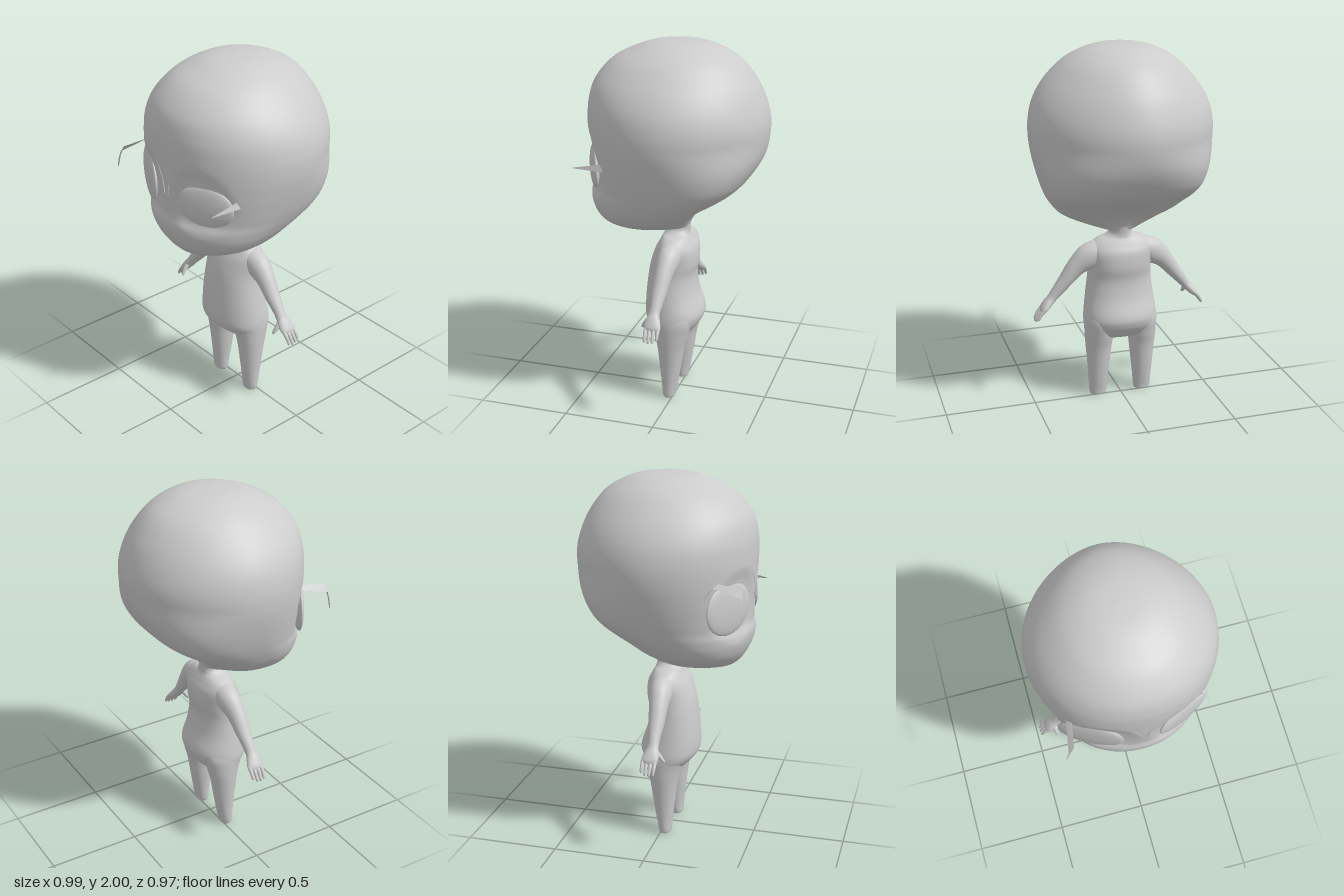
import * as THREE from 'three';

const clay = new THREE.MeshStandardMaterial({ color: 0xcccccc });
clay.name = 'clay grey';
const clayThin = new THREE.MeshStandardMaterial({ color: 0xcccccc, side: THREE.DoubleSide });
clayThin.name = 'clay grey thin';

function named(geometry, name, material = clay) {
  const mesh = new THREE.Mesh(geometry, material);
  mesh.name = name;
  return mesh;
}

// Smooth skin over rows x cols closed rings; at(t, angle) gives each point.
function skin(rows, cols, at) {
  const pos = [], index = [];
  for (let i = 0; i <= rows; i++) {
    for (let j = 0; j < cols; j++) pos.push(...at(i / rows, (j / cols) * Math.PI * 2));
  }
  for (let i = 0; i < rows; i++) {
    for (let j = 0; j < cols; j++) {
      const k = (j + 1) % cols;
      const a = i * cols + j, b = i * cols + k, c = a + cols, d = b + cols;
      index.push(a, b, c, b, d, c);
    }
  }
  const g = new THREE.BufferGeometry();
  g.setAttribute('position', new THREE.Float32BufferAttribute(pos, 3));
  g.setIndex(index);
  g.computeVertexNormals();
  return g;
}

// Horizontal sections from top to bottom: [y, half width, front z, back z, centre x]
// power(y, isBack) sets how square the section is.
function loft(sections, rows, cols, power = () => 2, shape = (p) => p) {
  const size = new THREE.CatmullRomCurve3(
    sections.map(([y, w, , , x = 0]) => new THREE.Vector3(x, y, w)), false, 'catmullrom', 0.5);
  const depth = new THREE.CatmullRomCurve3(
    sections.map(([, , f, b]) => new THREE.Vector3(f, b, 0)), false, 'catmullrom', 0.5);
  const bend = (v, n) => Math.sign(v) * Math.pow(Math.abs(v), 2 / n);
  return skin(rows, cols, (t, a) => {
    const s = size.getPoint(t), d = depth.getPoint(t);
    const n = power(s.y, Math.sin(a) < 0);
    return shape([
      s.x + Math.max(s.z, 0) * bend(Math.cos(a), n),
      s.y,
      (d.x + d.y) / 2 + ((d.x - d.y) / 2) * bend(Math.sin(a), n),
    ]);
  });
}

// Tapered limb along points [x, y, z, radius, depth radius]
function limb(points, rows, cols) {
  const path = new THREE.CatmullRomCurve3(
    points.map((p) => new THREE.Vector3(p[0], p[1], p[2])), false, 'catmullrom', 0.5);
  const radii = new THREE.CatmullRomCurve3(
    points.map((p) => new THREE.Vector3(p[3], p[4] ?? p[3], 0)), false, 'catmullrom', 0.5);
  const zAxis = new THREE.Vector3(0, 0, 1);
  return skin(rows, cols, (t, a) => {
    const p = path.getPoint(t), r = radii.getPoint(t);
    const n = zAxis.clone().cross(path.getTangent(t)).normalize();
    p.addScaledVector(n, Math.max(r.x, 0) * Math.cos(a));
    p.z += Math.max(r.y, 0) * Math.sin(a);
    return [p.x, p.y, p.z];
  });
}

// The skull is slightly pinched behind; the lower back corners are full
function headPower(y, isBack) {
  const { smoothstep } = THREE.MathUtils;
  if (!isBack) return 2.06;
  return 1.88 + 1.1 * (1 - smoothstep(y, 1.2, 1.54)) * smoothstep(y, 1.0, 1.12);
}

// Very shallow eye sockets, fading below
function dentSockets([x, y, z]) {
  if (z < 0.1) return [x, y, z];
  const q = ((Math.abs(x) - 0.195) / 0.18) ** 2 + ((y - 1.36) / 0.21) ** 2;
  const f = 1 - THREE.MathUtils.smoothstep(q, 0.2, 1);
  return [x, y, z - 0.018 * f];
}

// Thin strip through pairs of edge points
function strip(pairs) {
  const g = new THREE.BufferGeometry();
  const index = [];
  for (let i = 0; i < pairs.length - 1; i++) {
    index.push(2 * i, 2 * i + 1, 2 * i + 2, 2 * i + 1, 2 * i + 3, 2 * i + 2);
  }
  g.setAttribute('position', new THREE.Float32BufferAttribute(pairs.flat(2), 3));
  g.setIndex(index);
  g.computeVertexNormals();
  return g;
}

export function createModel() {
  const model = new THREE.Group();
  model.name = 'figure';

  // Large rounded head with a small jaw
  model.add(named(loft([
    [2.0, 0, 0, 0], [1.99, 0.12, 0.13, -0.13], [1.96, 0.215, 0.23, -0.23], [1.9, 0.31, 0.35, -0.33],
    [1.8, 0.405, 0.44, -0.41], [1.7, 0.465, 0.473, -0.457], [1.6, 0.49, 0.48, -0.482],
    [1.5, 0.49, 0.478, -0.478], [1.4, 0.472, 0.476, -0.45], [1.3, 0.444, 0.469, -0.392],
    [1.24, 0.422, 0.465, -0.335], [1.19, 0.4, 0.474, -0.265], [1.13, 0.367, 0.465, -0.17],
    [1.07, 0.318, 0.44, -0.1], [1.02, 0.235, 0.405, -0.068], [0.985, 0.13, 0.36, -0.05],
    [0.968, 0.05, 0.28, 0], [0.965, 0, 0.17, 0.17],
  ], 136, 112, headPower, dentSockets), 'head'));

  // Eyes: shallow domes, the right one a little larger
  for (const [name, x, y, z, rx, ry, turn] of [
    ['leftEye', 0.222, 1.35, 0.401, 0.155, 0.112, 0.44],
    ['rightEye', -0.255, 1.36, 0.386, 0.17, 0.14, -0.47],
  ]) {
    const eye = named(new THREE.SphereGeometry(1, 40, 24), name);
    eye.scale.set(rx, ry, 0.024);
    eye.position.set(x, y, z);
    eye.rotation.y = turn;
    model.add(eye);
  }

  // Fine lid creases arching over the eyes
  for (const s of [1, -1]) {
    const arc = [];
    for (let i = 0; i <= 16; i++) {
      const a = Math.PI * (1 - (i / 16) * 0.86);
      const x = 0.195 + 0.18 * Math.cos(a), y = 1.36 + 0.21 * Math.sin(a);
      const w = 0.472 + (y - 1.4) * 0.12;
      arc.push(new THREE.Vector3(s * x, y, 0.477 - 0.47 * (1 - Math.sqrt(1 - (x / w) ** 2))));
    }
    model.add(named(new THREE.TubeGeometry(new THREE.CatmullRomCurve3(arc), 48, 0.003, 6),
      s > 0 ? 'leftLidCrease' : 'rightLidCrease'));
  }

  // Loose lash strips at the outer eye corners
  model.add(named(strip([
    [[-0.335, 1.51, 0.33], [-0.365, 1.49, 0.33]],
    [[-0.36, 1.495, 0.475], [-0.39, 1.455, 0.478]],
    [[-0.385, 1.43, 0.482], [-0.402, 1.41, 0.484]],
    [[-0.4, 1.37, 0.485], [-0.41, 1.365, 0.485]],
  ]), 'rightLash', clayThin));
  model.add(named(strip([
    [[-0.335, 1.51, 0.33], [-0.365, 1.49, 0.33]],
    [[-0.385, 1.45, 0.3], [-0.395, 1.45, 0.29]],
    [[-0.4, 1.37, 0.28], [-0.41, 1.365, 0.28]],
  ]), 'rightLashRoot', clayThin));
  model.add(named(strip([
    [[0.362, 1.405, 0.3], [0.372, 1.365, 0.3]],
    [[0.357, 1.372, 0.47], [0.357, 1.368, 0.47]],
  ]), 'leftLash', clayThin));

  // Neck and torso with a round belly and a hollow back
  model.add(named(loft([
    [1.08, 0.1, 0.12, -0.09], [1.02, 0.07, 0.09, -0.066], [0.975, 0.06, 0.075, -0.058],
    [0.95, 0.085, 0.077, -0.058], [0.935, 0.13, 0.085, -0.064], [0.905, 0.17, 0.1, -0.08],
    [0.86, 0.182, 0.125, -0.1], [0.78, 0.176, 0.152, -0.104], [0.7, 0.179, 0.167, -0.092],
    [0.6, 0.191, 0.178, -0.105], [0.5, 0.204, 0.183, -0.138], [0.45, 0.206, 0.174, -0.132],
    [0.41, 0.198, 0.143, -0.108], [0.375, 0.165, 0.1, -0.078], [0.357, 0.08, 0.05, -0.04], [0.352, 0, 0, 0],
  ], 90, 56, () => 2.15), 'torso'));

  for (const s of [1, -1]) {
    const side = s > 0 ? 'left' : 'right';
    const mirror = (points) => points.map(([x, ...rest]) => [s * x, ...rest]);

    // Tapered leg ending in a blunt stump
    model.add(named(loft([
      [0.58, 0.05, 0.11, -0.06, s * 0.11], [0.48, 0.08, 0.128, -0.1, s * 0.123],
      [0.38, 0.081, 0.104, -0.084, s * 0.123], [0.3, 0.073, 0.088, -0.063, s * 0.126],
      [0.2, 0.064, 0.076, -0.047, s * 0.127], [0.1, 0.055, 0.065, -0.03, s * 0.129],
      [0.03, 0.05, 0.058, -0.016, s * 0.13], [0.006, 0.045, 0.055, -0.012, s * 0.13],
      [0, 0.036, 0.045, -0.004, s * 0.13], [0, 0, 0.02, 0.02, s * 0.13],
    ], 54, 32), side + 'Leg'));

    // Sloping arm and palm
    model.add(named(limb(mirror([
      [0.05, 0.885, 0.008, 0.03, 0.04], [0.12, 0.868, 0.008, 0.062, 0.062], [0.185, 0.834, 0.01, 0.072, 0.062],
      [0.25, 0.782, 0.015, 0.053, 0.05], [0.31, 0.707, 0.02, 0.04, 0.042],
      [0.36, 0.645, 0.022, 0.031, 0.032], [0.388, 0.61, 0.024, 0.026, 0.031],
      [0.415, 0.58, 0.022, 0.024, 0.042], [0.442, 0.55, 0.018, 0.017, 0.043], [0.456, 0.535, 0.016, 0, 0],
    ]), 54, 28), side + 'Arm'));

    // Four fingers and a thumb
    for (let i = 0; i < 4; i++) {
      const z = 0.05 - i * 0.022;
      const reach = [0.94, 1, 0.95, 0.8][i];
      model.add(named(limb(mirror([
        [0.432, 0.562, z, 0.012], [0.432 + 0.03 * reach, 0.562 - 0.034 * reach, z, 0.01],
        [0.432 + 0.047 * reach, 0.562 - 0.062 * reach, z - 0.001, 0.008],
        [0.432 + 0.051 * reach, 0.562 - 0.074 * reach, z - 0.001, 0.006],
        [0.432 + 0.052 * reach, 0.562 - 0.078 * reach, z - 0.001, 0],
      ]), 16, 12), side + 'Finger' + (i + 1)));
    }
    model.add(named(limb(mirror([
      [0.395, 0.605, 0.035, 0.016], [0.398, 0.575, 0.06, 0.014], [0.395, 0.55, 0.077, 0.011],
      [0.391, 0.537, 0.086, 0.007], [0.39, 0.533, 0.088, 0],
    ]), 16, 12), side + 'Thumb'));
  }
  return model;
}
